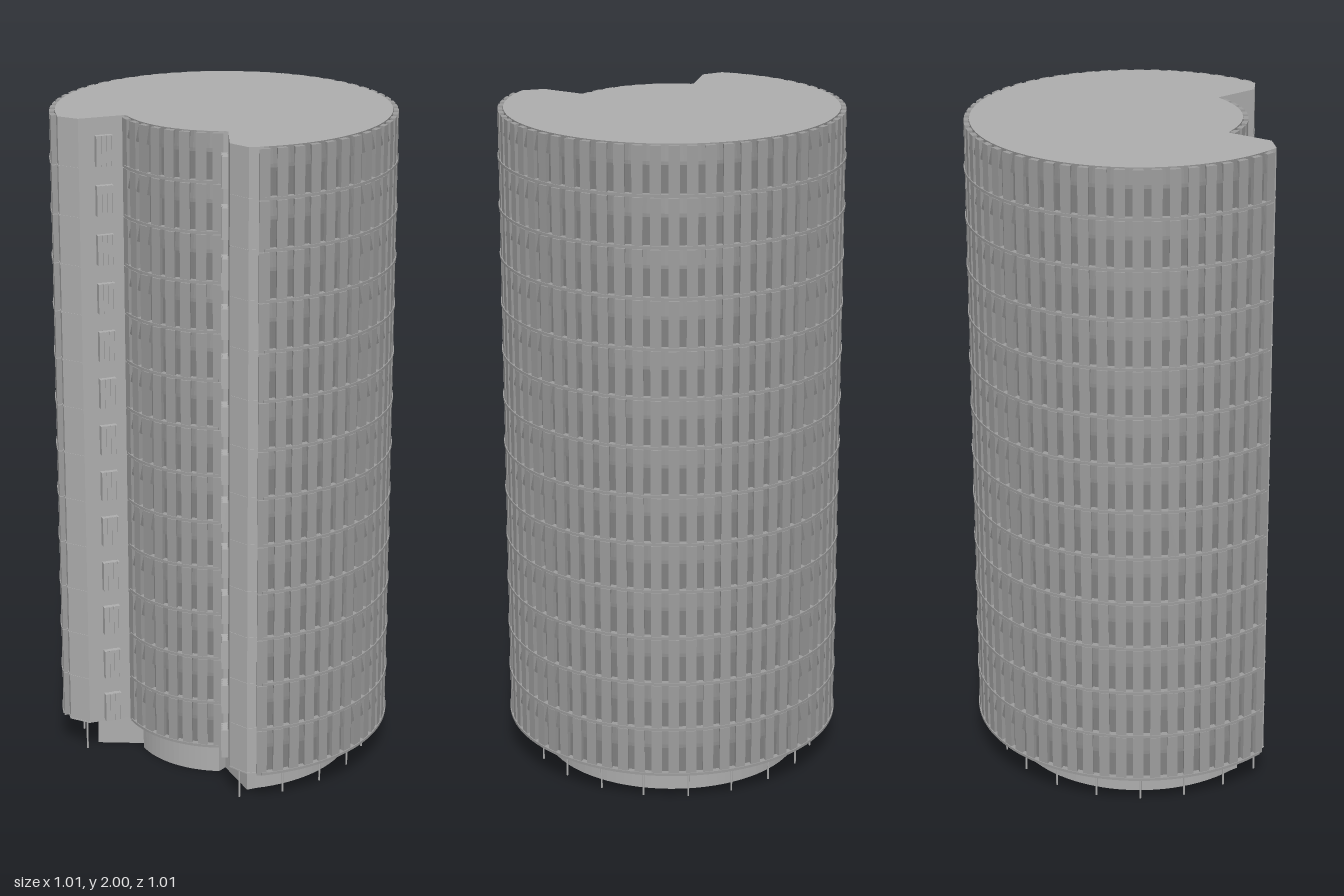
import * as THREE from 'three';
import { mergeGeometries } from 'three/addons/utils/BufferGeometryUtils.js';

const FLOORS = 13, BASE = 0.1, H = 1.9 / FLOORS;
const OUT = { r: 0.487, a0: 178.9, a1: 445.2, bays: 46 }; // round outer facade
const INN = { r: 0.296, a0: 101, a1: 163, bays: 7 };      // facade inside the notch
const AXIS = 132;                                         // direction of the notch
const rad = THREE.MathUtils.degToRad;

const paint = (color, side = THREE.FrontSide) => new THREE.MeshStandardMaterial({ color, side });
const wallGrey = paint(0xadadad);
const wallGreyDouble = paint(0xadadad, THREE.DoubleSide);
const pierGrey = paint(0x9c9c9c);
const windowGrey = paint(0x808080);

const polar = (r, deg) => new THREE.Vector2(r * Math.cos(rad(deg)), r * Math.sin(rad(deg)));

function arc(r, a0, a1, n) {
  return Array.from({ length: n + 1 }, (_, i) => polar(r, a0 + (a1 - a0) * i / n));
}

// Plan (x, z): three-quarter drum, two chamfered arms and a notch with a rounded back
function plan(r = OUT.r) {
  const k = r / OUT.r;
  const p = (x, z) => new THREE.Vector2(x * k, z * k);
  return [
    ...arc(r, OUT.a0, OUT.a1, 92),
    p(0, 0.487), p(-0.045, 0.435), polar(INN.r + 0.004, 95.7),
    ...arc(INN.r, 98, 166, 24),
    polar(INN.r + 0.004, 168.3), p(-0.43, 0.09), p(-0.485, 0.05),
  ];
}

// Extrude a plan between two heights
function prism(points, y0, y1) {
  const g = new THREE.ExtrudeGeometry(new THREE.Shape(points), { depth: y1 - y0, bevelEnabled: false });
  return g.rotateX(Math.PI / 2).translate(0, y1, 0);
}

// Curved band along one facade
function band(f, r0, r1, y0, y1) {
  const n = f.bays * 2;
  return prism([...arc(r1, f.a0, f.a1, n), ...arc(r0, f.a1, f.a0, n)], y0, y1);
}

// Curved strip swept from a radius/height profile, with crisp edges
function sweep(f, profile) {
  const points = profile.map(([r, y]) => new THREE.Vector2(f.r + r, y));
  const g = new THREE.LatheGeometry(points, f.bays * 2, rad(90 - f.a1), rad(f.a1 - f.a0)).toNonIndexed();
  g.computeVertexNormals();
  return g;
}

// One storey of a pier: an upright block, narrower at its root
function pier(f) {
  const outer = 0.0155, inner = 0.012;
  const s = new THREE.Shape([
    [f.r - 0.003, -inner], [f.r + 0.016, -outer], [f.r + 0.016, outer], [f.r - 0.003, inner],
  ].map(([x, z]) => new THREE.Vector2(x, z)));
  return new THREE.ExtrudeGeometry(s, { depth: H - 0.003, bevelEnabled: false })
    .rotateX(Math.PI / 2).translate(0, H - 0.003, 0);
}

const box = (w, h, d, x, y, z) => new THREE.BoxGeometry(w, h, d).translate(x, y, z);

export function createModel() {
  const model = new THREE.Group();
  const add = (name, parts, material) => {
    const mesh = new THREE.Mesh(mergeGeometries(parts), material);
    mesh.name = name;
    model.add(mesh);
  };

  add('towerBody', [prism(plan(), BASE, 2)], wallGrey);

  // Facades: floor bands, piers, and between them dark panes under sloping spandrels
  for (const [label, f] of [['outer', OUT], ['notch', INN]]) {
    const bands = [], spandrels = [], panes = [], piers = [];
    const step = (f.a1 - f.a0) / f.bays;
    for (let k = 0; k < FLOORS; k++) {
      const y = BASE + k * H;
      bands.push(band(f, f.r - 0.004, f.r + 0.019, y, y + 0.008));
      panes.push(sweep(f, [[0.002, y + 0.008], [0.002, y + 0.09]]));
      spandrels.push(sweep(f, [[0, y + 0.09], [0.014, y + 0.09], [0.012, y + 0.1], [0, y + H]]));
      for (let i = 0; i <= f.bays; i++) {
        piers.push(pier(f).rotateY(-rad(f.a0 + i * step)).translate(0, y, 0));
      }
    }
    add(label + 'FloorBands', bands, pierGrey);
    add(label + 'WindowPanes', panes, windowGrey);
    add(label + 'Spandrels', spandrels, windowGrey);
    add(label + 'Piers', piers, pierGrey);
  }

  // Thin floor joints on the plain arm walls
  const joints = [];
  for (let k = 0; k < FLOORS; k++) {
    const y = BASE + k * H;
    joints.push(prism(plan(OUT.r + 0.002), y, y + 0.004));
  }
  add('armFloorJoints', joints, wallGrey);

  // Barred window boxes on the notch walls of both arms
  const grilles = [];
  for (const [x, z, dx, dz] of [[-0.357, 0.083, 0.14, -0.03], [-0.048, 0.358, 0.015, -0.135]]) {
    for (let k = 0; k < FLOORS; k++) {
      const bars = [box(0.05, 0.09, 0.014, 0, 0.05, 0)];
      for (let i = 0; i < 4; i++) bars.push(box(0.005, 0.09, 0.02, -0.0225 + i * 0.015, 0.05, 0));
      grilles.push(mergeGeometries(bars).rotateY(Math.atan2(-dz, dx)).translate(x, BASE + k * H, z));
    }
  }
  add('armWindowGrilles', grilles, wallGrey);

  // Recessed ground floor: an open-bottomed wall with pointed arms beside the notch
  const ring = [
    ...arc(0.395, AXIS + 48, AXIS + 312, 64),
    polar(0.4, AXIS - 44), polar(0.25, AXIS - 35),
    ...arc(0.275, AXIS - 31, AXIS + 31, 16),
    polar(0.25, AXIS + 35), polar(0.4, AXIS + 44),
  ];
  const pos = [], index = [];
  ring.forEach((p, i) => {
    const q = ring[(i + 1) % ring.length];
    pos.push(p.x, 0, p.y, q.x, 0, q.y, q.x, BASE, q.y, p.x, BASE, p.y);
    index.push(4 * i, 4 * i + 2, 4 * i + 1, 4 * i, 4 * i + 3, 4 * i + 2);
  });
  const wall = new THREE.BufferGeometry();
  wall.setAttribute('position', new THREE.Float32BufferAttribute(pos, 3));
  wall.setIndex(index);
  wall.computeVertexNormals();
  add('groundFloorWall', [wall], wallGreyDouble);

  // Lip under the overhang
  add('soffitLip', [band(OUT, 0.395, 0.42, 0.09, BASE)], wallGrey);

  // Slender columns around the ground floor
  const columns = [];
  for (let i = 0; i <= 16; i++) {
    const p = polar(0.44, 172 + (452 - 172) * i / 16);
    columns.push(new THREE.CylinderGeometry(0.003, 0.003, BASE, 8).translate(p.x, BASE / 2, p.y));
  }
  add('columns', columns, wallGrey);

  return model;
}
